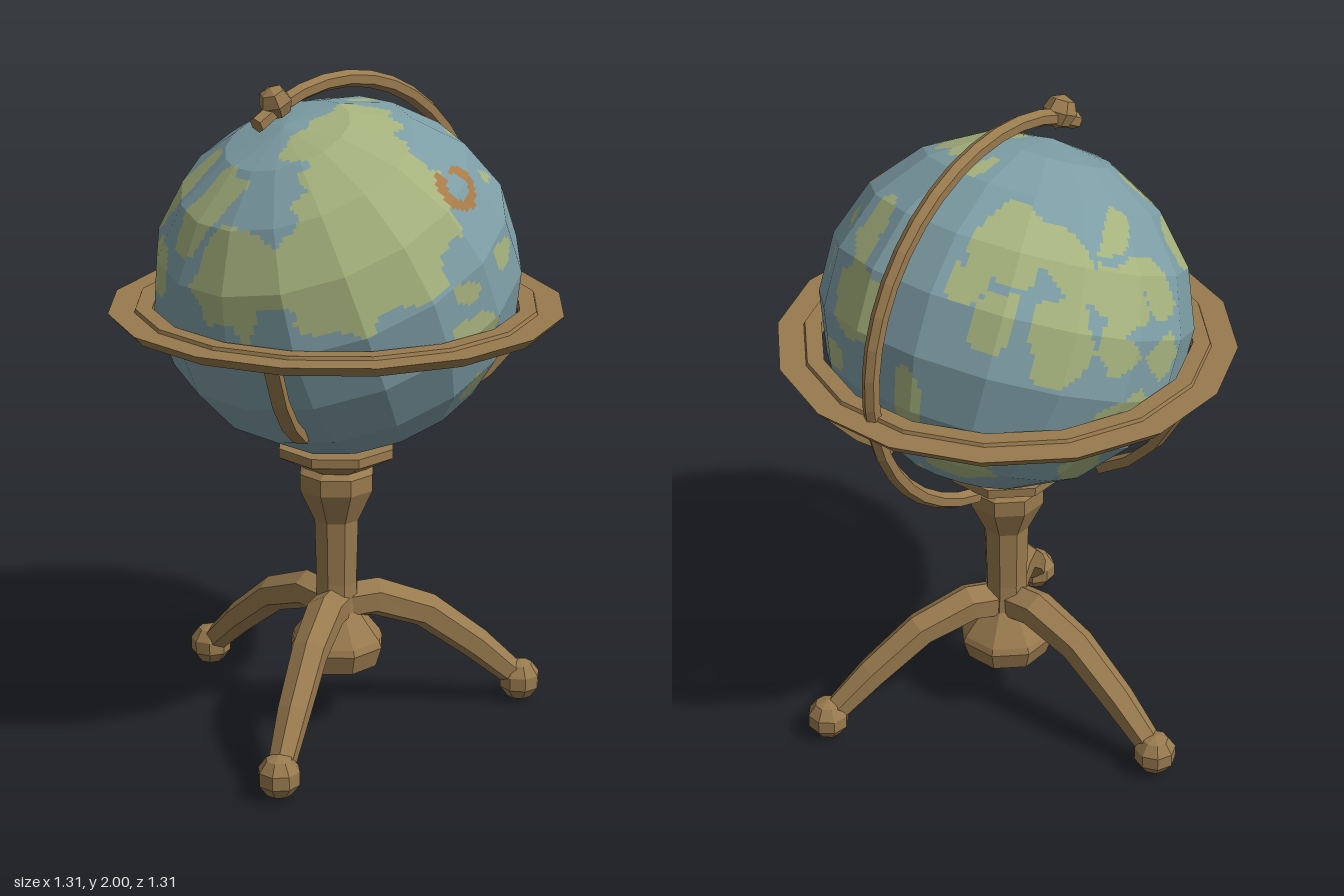
import * as THREE from 'three';

const mat = (name, color) => new THREE.MeshStandardMaterial({ name, color, flatShading: true });
const wood = mat('wood', 0x987a4e);
const ocean = mat('ocean', 0x7d9da5);
const land = mat('land', 0xa5b27d);
const mark = mat('markOrange', 0xa87a48);

const CENTER_Y = 1.4, TILT = 0.41;

// A chart is a direction from which land spots are laid on the globe.
// Spots are [across, up, halfWidth, halfHeight] in hundredths from the globe centre.
function chart(azimuth, elevation, spots) {
  const a = THREE.MathUtils.degToRad(azimuth), e = THREE.MathUtils.degToRad(elevation);
  const right = new THREE.Vector3(Math.cos(a), 0, -Math.sin(a));
  const dir = new THREE.Vector3(Math.sin(a) * Math.cos(e), Math.sin(e), Math.cos(a) * Math.cos(e));
  return { right, dir, up: dir.clone().cross(right), spots };
}

const frontChart = chart(0, 0, [[-15, 32, 18, 16], [-36, 18, 14, 20], [-17, 13, 10, 8], [0, 5, 5, 3],
  [19, 12, 5, 4], [29, 33, 5, 4], [42, 22, 9, 8], [4, -9, 9, 7], [20, -16, 6, 3], [14, -27, 5, 5], [36, -28, 11, 9]]);
const leftChart = chart(90, 0, [[-20, 37, 6, 9], [-14, 18, 11, 10], [-25, -2, 6, 4], [18, 36, 5, 8],
  [27, 23, 5, 8], [8, -5, 4, 15], [43, 12, 8, 12], [40, -25, 11, 10], [17, -28, 8, 14], [-36, -21, 4, 5]]);
const topChart = chart(0, 90, [[-10, 47, 16, 4], [-36, 27, 6, 15], [16, 34, 6, 9], [25, 22, 11, 9],
  [-12, -15, 18, 10], [-20, -30, 20, 12], [10, 0, 6, 2], [37, -19, 10, 6]]);
const backRightChart = chart(225, 25, [[-40, 12, 8, 13], [-25, 27, 9, 9], [-28, 3, 5, 11], [-18, 41, 7, 5],
  [-3, -1, 7, 8], [8, 10, 5, 11], [26, 7, 6, 15], [42, -3, 8, 14], [-37, -15, 8, 6], [13, -16, 8, 7], [40, 31, 8, 8]]);
const backLeftChart = chart(135, -25, [[10, 36, 9, 8], [31, 30, 9, 7], [-1, 6, 15, 6], [-18, -4, 11, 10],
  [27, 6, 9, 10], [17, -10, 6, 9], [-33, -21, 7, 5], [23, -26, 7, 4]]);
const charts = [frontChart, leftChart, topChart, backRightChart, backLeftChart];

// Broken orange ring on the front
function onMark(u, v) {
  const x = u - 7.5, y = (v - 31.5) * 1.3, r = Math.hypot(x, y), angle = Math.atan2(y, x);
  return r > 4.3 && r < 7.6 && !(angle > 1.6 && angle < 2.1);
}

// Which colour a point of the globe has, using the chart that faces it best
function colourAt(p) {
  let best = charts[0];
  for (const c of charts) if (c.dir.dot(p) > best.dir.dot(p)) best = c;
  const u = best.right.dot(p) * 100, v = best.up.dot(p) * 100;
  if (best === frontChart && onMark(u, v)) return 'mark';
  // ragged coastline
  const coast = 1 + 0.3 * Math.sin(31 * p.x + 17 * p.y) * Math.sin(29 * p.z - 23 * p.y)
    + 0.2 * Math.sin(57 * p.y + 41 * p.x - 37 * p.z);
  const isLand = best.spots.some(([x, y, w, h]) => Math.abs((u - x) / w) ** 3 + Math.abs((v - y) / h) ** 3 < coast);
  return isLand ? 'land' : 'ocean';
}

// Faceted tilted globe; each flat facet is split into small cells sorted by colour
function makeGlobe() {
  const COLS = 16, ROWS = 9, N = 13;
  const out = { ocean: [], land: [], mark: [] };
  const zAxis = new THREE.Vector3(0, 0, 1);
  const corner = (i, j) => {
    const t = (i / ROWS) * Math.PI, f = ((j + 0.5) / COLS) * Math.PI * 2;
    return new THREE.Vector3(0.5445 * Math.sin(t) * Math.sin(f), 0.513 * Math.cos(t),
      0.5445 * Math.sin(t) * Math.cos(f)).applyAxisAngle(zAxis, TILT);
  };
  const cell = (a, b, c, d) => {
    const mid = a.clone().add(b).add(c).add(d).divideScalar(4);
    const pos = out[colourAt(mid)];
    for (const tri of [[a, d, c], [a, c, b]]) {
      if (new THREE.Triangle(...tri).getArea() > 1e-9) for (const p of tri) pos.push(p.x, p.y, p.z);
    }
  };
  for (let i = 0; i < ROWS; i++) for (let j = 0; j < COLS; j++) {
    const A = corner(i, j), B = corner(i, j + 1), C = corner(i + 1, j + 1), D = corner(i + 1, j);
    const at = (s, t) => A.clone().lerp(B, s / N).lerp(D.clone().lerp(C, s / N), t / N);
    for (let s = 0; s < N; s++) for (let t = 0; t < N; t++) {
      cell(at(s, t), at(s + 1, t), at(s + 1, t + 1), at(s, t + 1));
    }
  }
  const globe = new THREE.Group();
  globe.name = 'globe';
  const surface = (name, pos, material) => {
    const g = new THREE.BufferGeometry();
    g.setAttribute('position', new THREE.Float32BufferAttribute(pos, 3));
    g.computeVertexNormals();
    add(globe, name, g, material);
  };
  surface('globeOcean', out.ocean, ocean);
  surface('globeLand', out.land, land);
  surface('globeRingMark', out.mark, mark);
  globe.position.y = CENTER_Y;
  return globe;
}

function add(parent, name, geometry, material = wood) {
  const m = new THREE.Mesh(geometry, material);
  m.name = name;
  parent.add(m);
  return m;
}

// Sweeps a capped polygon bar along a path in the xy plane; points are [x, y, halfThickness, halfWidth]
function sweep(path, sides, turn = 0) {
  const pos = [], idx = [], n = path.length;
  path.forEach(([x, y, rn, rb], i) => {
    const p = path[Math.max(i - 1, 0)], q = path[Math.min(i + 1, n - 1)];
    const l = Math.hypot(q[0] - p[0], q[1] - p[1]);
    const tx = (q[0] - p[0]) / l, ty = (q[1] - p[1]) / l;
    for (let j = 0; j < sides; j++) {
      const a = ((j + turn) / sides) * Math.PI * 2, c = Math.cos(a) * rn;
      pos.push(x - ty * c, y + tx * c, Math.sin(a) * rb);
    }
  });
  for (let i = 0; i < n - 1; i++) for (let j = 0; j < sides; j++) {
    const k = (j + 1) % sides, a = i * sides + j, b = i * sides + k;
    idx.push(a, b, b + sides, a, b + sides, a + sides);
  }
  const e = (n - 1) * sides;
  for (let j = 1; j < sides - 1; j++) idx.push(0, j + 1, j, e, e + j, e + j + 1);
  const g = new THREE.BufferGeometry();
  g.setAttribute('position', new THREE.Float32BufferAttribute(pos, 3));
  g.setIndex(idx);
  g.computeVertexNormals();
  return g;
}

// Faceted turned part; radii are measured to the middle of the flats
function turned(profile, sides) {
  const k = 1 / Math.cos(Math.PI / sides);
  const g = new THREE.LatheGeometry(profile.map(([r, y]) => new THREE.Vector2(r * k, y)), sides);
  return g.rotateY(Math.PI / sides);
}

export function createModel() {
  const model = new THREE.Group();
  model.name = 'tableGlobe';
  model.add(makeGlobe());

  // Turned post with hub and cup
  add(model, 'post', turned([[0, 0.19], [0.12, 0.19], [0.137, 0.25], [0.13, 0.27], [0.065, 0.36], [0.06, 0.45],
    [0.065, 0.65], [0.108, 0.75], [0.108, 0.8], [0.09, 0.815], [0.168, 0.86], [0.168, 0.888], [0, 0.888]], 8));

  // Horizon ring with a shallow step
  add(model, 'horizonRing', turned([[0.53, 1.285], [0.63, 1.285], [0.657, 1.315], [0.582, 1.315],
    [0.578, 1.325], [0.53, 1.325], [0.53, 1.285]], 16));

  // Meridian arm with its knob at the pole
  const arc = [], STEPS = 22;
  for (let i = 0; i <= STEPS; i++) {
    const a = THREE.MathUtils.degToRad(-76 + (198 * i) / STEPS);
    arc.push([0.582 * Math.cos(a), 1.393 + 0.582 * Math.sin(a), 0.025, 0.025]);
  }
  add(model, 'meridianArm', sweep(arc, 6));
  const knob = add(model, 'poleKnob', new THREE.SphereGeometry(0.05, 6, 4));
  knob.position.set(-0.237, 1.942, 0);
  knob.rotation.z = TILT;

  // Three legs, feet and ring struts
  const legPath = [[0, 0.375, 0.06, 0.06], [0.12, 0.385, 0.06, 0.06], [0.28, 0.325, 0.055, 0.055],
    [0.44, 0.2, 0.05, 0.05], [0.57, 0.08, 0.04, 0.04]];
  const strutPath = [[0.615, 1.29, 0.02, 0.03], [0.545, 1.17, 0.02, 0.03], [0.46, 1.08, 0.02, 0.03],
    [0.355, 1.01, 0.02, 0.03]];
  for (const deg of [-30, 90, 210]) {
    const support = new THREE.Group();
    support.name = 'support';
    support.rotation.y = THREE.MathUtils.degToRad(deg);
    add(support, 'leg', sweep(legPath, 6));
    add(support, 'foot', new THREE.SphereGeometry(0.066, 8, 5)).position.set(0.585, 0.066, 0);
    add(support, 'ringStrut', sweep(strutPath, 4, 0.5));
    model.add(support);
  }
  return model;
}
